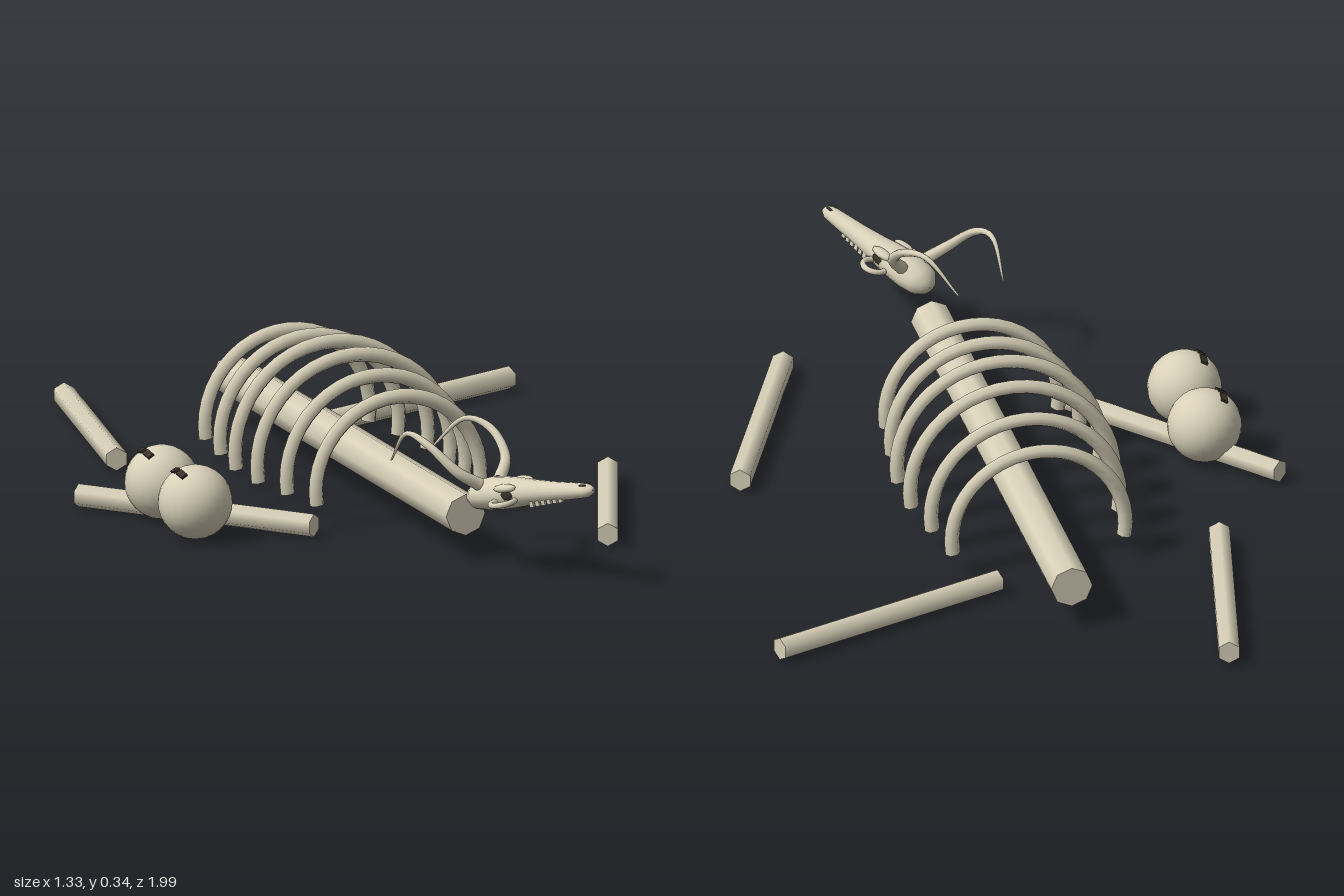
import * as THREE from 'three';

const bone = new THREE.MeshStandardMaterial({ color: 0xd8d0b8 });
bone.name = 'bone';
const hollow = new THREE.MeshStandardMaterial({ color: 0x3a3228 });
hollow.name = 'dark hollow';

function add(parent, name, geometry, material = bone) {
  const mesh = new THREE.Mesh(geometry, material);
  mesh.name = name;
  parent.add(mesh);
  return mesh;
}

// Rod lying along z, with a corner of its section pointing up
function rod(radius, length, sides) {
  return new THREE.CylinderGeometry(radius, radius, length, sides).rotateX(Math.PI / 2);
}

// Tube that narrows from its base to its tip
function horn(points, r0, r1) {
  const path = new THREE.CatmullRomCurve3(points.map(p => new THREE.Vector3(...p)));
  const rows = 24, sides = 8;
  const g = new THREE.TubeGeometry(path, rows, 1, sides);
  const pos = g.attributes.position, v = new THREE.Vector3();
  for (let i = 0; i <= rows; i++) {
    const c = path.getPointAt(i / rows);
    const r = THREE.MathUtils.lerp(r0, r1, i / rows);
    for (let j = 0; j <= sides; j++) {
      const k = i * (sides + 1) + j;
      v.fromBufferAttribute(pos, k).sub(c).multiplyScalar(r).add(c);
      pos.setXYZ(k, v.x, v.y, v.z);
    }
  }
  return g;
}

// Smooth body through elliptical sections [z, half width, half height, centre y]
function loft(sections, sides = 16) {
  const position = [], index = [];
  for (const [z, w, h, cy] of sections) {
    for (let j = 0; j < sides; j++) {
      const a = (j / sides) * Math.PI * 2;
      position.push(w * Math.cos(a), cy + h * Math.sin(a), z);
    }
  }
  for (let i = 0; i < sections.length - 1; i++) {
    for (let j = 0; j < sides; j++) {
      const a = i * sides + j, b = i * sides + (j + 1) % sides;
      index.push(a, b, b + sides, a, b + sides, a + sides);
    }
  }
  const g = new THREE.BufferGeometry();
  g.setAttribute('position', new THREE.Float32BufferAttribute(position, 3));
  g.setIndex(index);
  g.computeVertexNormals();
  return g;
}

function makeHornedSkull() {
  const skull = new THREE.Group();
  skull.name = 'hornedSkull';

  const head = new THREE.Group();
  head.name = 'head';
  head.position.set(-0.008, 0.178, 0.72);
  head.rotation.set(-0.18, 0.51, 0.1, 'YXZ');
  skull.add(head);

  add(head, 'cranium', loft([
    [-0.052, 0.001, 0.001, -0.004], [-0.045, 0.024, 0.02, -0.004],
    [-0.025, 0.042, 0.033, -0.002], [0.01, 0.049, 0.037, 0],
    [0.05, 0.046, 0.037, 0], [0.09, 0.041, 0.034, 0],
    [0.13, 0.033, 0.029, 0], [0.19, 0.026, 0.023, 0],
    [0.25, 0.022, 0.019, 0], [0.29, 0.019, 0.016, 0],
    [0.304, 0.011, 0.009, 0], [0.307, 0.001, 0.001, 0],
  ]));

  for (const s of [-1, 1]) {
    // Cheek arches ringing the eye sockets
    const ring = add(head, 'eyeRing', new THREE.TorusGeometry(0.028, 0.007, 8, 20));
    ring.position.set(s * 0.05, -0.008, 0.08);
    ring.rotation.set(-Math.PI / 2, s * 0.6, 0, 'ZYX');

    const socket = add(head, 'eyeSocket', new THREE.SphereGeometry(0.014, 12, 8), hollow);
    socket.scale.set(0.3, 0.8, 1.2);
    socket.position.set(s * 0.04, 0.004, 0.085);

    const brow = add(head, 'browRidge', new THREE.SphereGeometry(0.014, 12, 8));
    brow.scale.set(1, 0.7, 2.2);
    brow.position.set(s * 0.034, 0.02, 0.08);

    const nostril = add(head, 'nostril', new THREE.SphereGeometry(0.006, 8, 6), hollow);
    nostril.scale.set(0.7, 0.5, 2);
    nostril.position.set(s * 0.008, 0.014, 0.285);

    // Upper teeth
    for (let i = 0; i < 6; i++) {
      const tooth = add(head, 'tooth', new THREE.BoxGeometry(0.007, 0.014, 0.011));
      tooth.position.set(s * (0.022 - i * 0.0015), -0.022 + i * 0.0014, 0.14 + i * 0.016);
    }
  }

  add(skull, 'rightHorn', horn([
    [-0.035, 0.205, 0.74], [-0.085, 0.235, 0.733], [-0.138, 0.293, 0.68],
    [-0.163, 0.308, 0.615], [-0.172, 0.23, 0.545],
  ], 0.015, 0.002));
  add(skull, 'leftHorn', horn([
    [0.025, 0.205, 0.71], [0.054, 0.245, 0.675], [0.046, 0.298, 0.605],
    [0.008, 0.31, 0.545], [-0.055, 0.232, 0.493],
  ], 0.015, 0.002));
  return skull;
}

export function createModel() {
  const model = new THREE.Group();
  model.name = 'skeletonRemains';

  // Spine
  add(model, 'spine', rod(0.048, 1.37, 8)).position.set(-0.025, 0.107, -0.055);

  // Ribs, largest in the middle
  const dip = Math.PI * 0.05;
  [0.202, 0.2195, 0.237, 0.237, 0.2195, 0.202].forEach((radius, i) => {
    const rib = new THREE.Group();
    rib.name = 'rib';
    rib.position.set(-0.025, 0.088, 0.235 - i * 0.13);
    model.add(rib);
    add(rib, 'ribArch', new THREE.TorusGeometry(radius, 0.0175, 6, 24, Math.PI + 2 * dip).rotateZ(-dip));
    for (const s of [-1, 1]) {
      add(rib, 'ribEnd', new THREE.CircleGeometry(0.0175, 6)
        .rotateX(Math.PI / 2).translate(s * radius, 0, 0).rotateZ(-s * dip));
    }
  });

  // Scattered limb bones: centre x, centre z, direction x, direction z
  const limbs = [
    [-0.389, -0.701, 0.117, -0.588],
    [0.376, -0.632, 0.555, -0.216],
    [-0.459, 0.087, 0.378, 0.45],
    [0.432, 0.373, -0.233, 0.555],
  ];
  for (const [x, z, dx, dz] of limbs) {
    const limb = add(model, 'limbBone', rod(0.027, 0.6, 6));
    limb.position.set(x, 0.031, z);
    limb.rotation.y = Math.atan2(dx, dz);
  }

  // Round skulls with small dark eyes looking up and to the side
  for (const z of [0.016, 0.212]) {
    const skull = new THREE.Group();
    skull.name = 'roundSkull';
    skull.position.set(-0.514, 0.087, z);
    model.add(skull);
    add(skull, 'skullBall', new THREE.SphereGeometry(0.085, 24, 16));
    for (const s of [-1, 1]) {
      const eye = add(skull, 'eye', new THREE.BoxGeometry(0.016, 0.006, 0.028), hollow);
      eye.position.set(-0.041, 0.0725, s * 0.019);
      eye.rotation.set(s * 0.22, 0, 0.5, 'ZXY');
    }
  }

  model.add(makeHornedSkull());
  return model;
}
